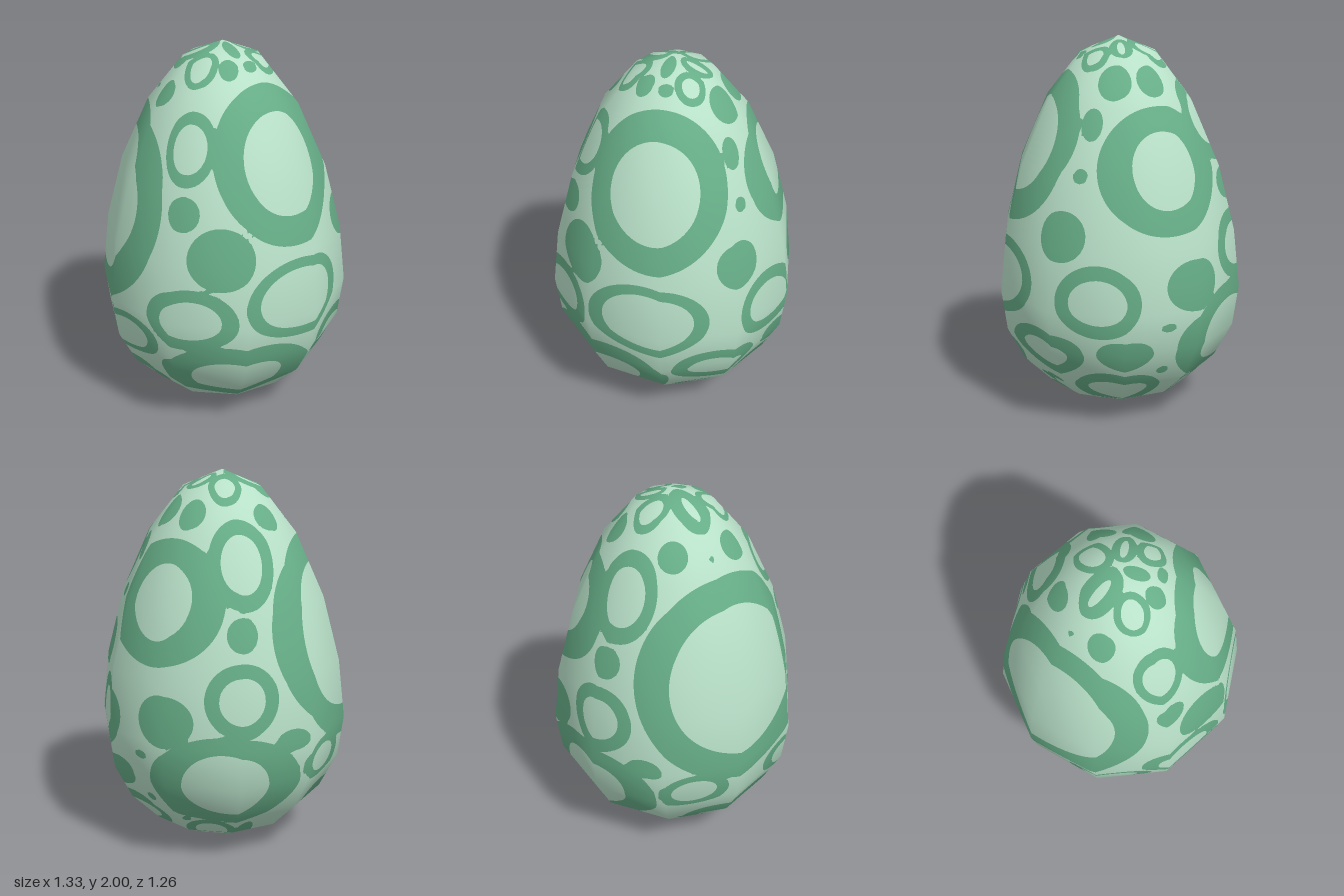
import * as THREE from 'three';

// Egg outline as [radius, height], and the ten flat sides around it
const PROFILE = [[0, 0], [0.205, 0.04], [0.39, 0.13], [0.54, 0.28], [0.635, 0.465], [0.665, 0.685],
  [0.63, 1.0], [0.54, 1.345], [0.39, 1.68], [0.205, 1.915], [0, 2]];
const SIDES = 10, SUB_A = 16, SUB_Y = 12;
const RAD = Math.PI / 180;

// Spots: [azimuth from the front toward the left, height, half width, half height, hole half width, hole half height]
const LARGE_RINGS = [
  [-85, 1.15, 0.55, 0.56, 0.39, 0.4], [48, 1.47, 0.37, 0.42, 0.23, 0.265],
  [151, 1.39, 0.35, 0.33, 0.18, 0.2], [15, 0.33, 0.41, 0.245, 0.245, 0.145],
  [191, 0.47, 0.41, 0.28, 0.23, 0.19], [47, 0.785, 0.33, 0.22, 0.25, 0.165],
  [-78, 0.2, 0.34, 0.2, 0.22, 0.11], [-8.5, 0.71, 0.255, 0.175, 0.167, 0.11],
];
const SMALL_RINGS = [
  [-15.5, 1.56, 0.135, 0.19, 0.09, 0.125], [203, 1.58, 0.17, 0.24, 0.108, 0.155],
  [199, 0.93, 0.195, 0.19, 0.12, 0.12], [113, 0.75, 0.225, 0.195, 0.155, 0.12],
  [-48, 0.515, 0.24, 0.13, 0.16, 0.09], [-112, 0.54, 0.19, 0.12, 0.125, 0.075],
  [82, 0.43, 0.245, 0.14, 0.155, 0.08], [122, 0.21, 0.225, 0.165, 0.155, 0.1],
  [181, 0.145, 0.135, 0.12, 0.085, 0.075], [65, 0.09, 0.13, 0.12, 0.08, 0.07],
  [-17, 0.07, 0.12, 0.12, 0.08, 0.07],
];
const CROWN_RINGS = [
  [194, 1.93, 0.085, 0.125, 0.052, 0.078], [129, 1.948, 0.06, 0.09, 0.02, 0.06],
  [85, 1.915, 0.08, 0.095, 0.045, 0.055], [-26, 1.905, 0.09, 0.115, 0.055, 0.08],
  [-86, 1.94, 0.09, 0.14, 0.025, 0.08],
];
const DOTS = [
  [-14, 1.26, 0.083, 0.09], [6, 1.045, 0.175, 0.165], [94, 1.07, 0.128, 0.13], [161, 0.81, 0.165, 0.135],
  [200, 1.25, 0.08, 0.09], [224, 0.7, 0.1, 0.06], [126, 0.455, 0.15, 0.095], [147, 0.6, 0.045, 0.028],
  [147, 0.34, 0.035, 0.03], [104, 1.61, 0.055, 0.085], [101, 1.37, 0.04, 0.04], [157, 1.8, 0.075, 0.09],
  [119, 1.8, 0.085, 0.1], [237, 1.78, 0.075, 0.08], [-59, 1.76, 0.07, 0.08], [-88, 1.75, 0.018, 0.018],
  [40, 1.967, 0.035, 0.07], [15, 1.91, 0.05, 0.065], [49, 1.91, 0.04, 0.035], [-118, 1.975, 0.03, 0.05],
  [78, 0.23, 0.065, 0.035], [110, 0.07, 0.05, 0.05], [167, 0.24, 0.025, 0.025], [206, 0.14, 0.05, 0.1],
  [30, 0.06, 0.05, 0.06], [66, 0.2, 0.05, 0.05], [45, 0.1, 0.05, 0.06], [145, 0.06, 0.05, 0.07],
  [225, 0.06, 0.06, 0.07], [250, 0.03, 0.05, 0.06], [10, 0.02, 0.04, 0.06], [90, 0.02, 0.04, 0.06],
  [175, 0.02, 0.05, 0.05],
];

// Tangent frame of each spot on the shell
function makeSpot([azimuth, y, w, h, holeW = 0, holeH = 0]) {
  const a = azimuth * RAD;
  const i = Math.max(0, PROFILE.findIndex((p) => p[1] >= y) - 1);
  const [r0, y0] = PROFILE[i], [r1, y1] = PROFILE[i + 1];
  const r = (r0 + (r1 - r0) * (y - y0) / (y1 - y0)) * 0.975;
  const out = new THREE.Vector3(Math.sin(a), 0, Math.cos(a));
  return {
    centre: out.clone().multiplyScalar(r).setY(y),
    east: new THREE.Vector3(Math.cos(a), 0, -Math.sin(a)),
    north: out.clone().multiplyScalar(r1 - r0).setY(y1 - y0).normalize(),
    w, h, holeW, holeH,
  };
}
const SPOTS = [...LARGE_RINGS, ...SMALL_RINGS, ...CROWN_RINGS, ...DOTS].map(makeSpot);

// Positive inside a spot's painted area, negative on the plain shell
function paintField(p) {
  let best = -1;
  const d = new THREE.Vector3();
  for (const s of SPOTS) {
    d.subVectors(p, s.centre);
    let u = d.dot(s.east), v = d.dot(s.north);
    const k = d.length() / Math.max(Math.hypot(u, v), 1e-6);
    u *= k;
    v *= k;
    let f = (1 - Math.hypot(u / s.w, v / s.h)) * Math.min(s.w, s.h);
    if (s.holeW) f = Math.min(f, (Math.hypot(u / s.holeW, v / s.holeH) - 1) * Math.min(s.holeW, s.holeH));
    best = Math.max(best, f);
  }
  return best;
}

// Corner of the ten-sided shell, with its smooth normal
function corner(i, j) {
  const a = (18 + 360 / SIDES * i) * RAD;
  const [r, y] = PROFILE[j];
  const lo = PROFILE[Math.max(j - 1, 0)], hi = PROFILE[Math.min(j + 1, PROFILE.length - 1)];
  const pole = r === 0;
  const nr = pole ? 0 : hi[1] - lo[1], ny = pole ? Math.sign(y - 1) : lo[0] - hi[0];
  return {
    p: new THREE.Vector3(r * Math.sin(a), y, r * Math.cos(a)),
    n: new THREE.Vector3(nr * Math.sin(a), ny, nr * Math.cos(a)).normalize(),
  };
}

const mix = (a, b, t) => ({ p: a.p.clone().lerp(b.p, t), n: a.n.clone().lerp(b.n, t), f: a.f + (b.f - a.f) * t });

// Fine grid point, lying flat on the shell's facets
function gridPoint(i, j) {
  const ci = Math.min(Math.floor(i / SUB_A), SIDES - 1), cj = Math.min(Math.floor(j / SUB_Y), PROFILE.length - 2);
  const s = i / SUB_A - ci, t = j / SUB_Y - cj;
  const v = mix(mix(corner(ci, cj), corner(ci + 1, cj), s), mix(corner(ci, cj + 1), corner(ci + 1, cj + 1), s), t);
  v.f = paintField(v.p);
  return v;
}

// Keep the part of a polygon on one side of the paint edge
function clip(poly, sign) {
  const kept = [];
  poly.forEach((a, i) => {
    const b = poly[(i + 1) % poly.length];
    if (a.f * sign >= 0) kept.push(a);
    if (a.f * b.f < 0) kept.push(mix(a, b, a.f / (a.f - b.f)));
  });
  return kept;
}

function makeSurface(polys, name, material) {
  const pos = [], nor = [];
  for (const poly of polys) {
    for (let k = 1; k + 1 < poly.length; k++) {
      for (const v of [poly[0], poly[k], poly[k + 1]]) {
        pos.push(v.p.x, v.p.y, v.p.z);
        const n = v.n.clone().normalize();
        nor.push(n.x, n.y, n.z);
      }
    }
  }
  const geometry = new THREE.BufferGeometry();
  geometry.setAttribute('position', new THREE.Float32BufferAttribute(pos, 3));
  geometry.setAttribute('normal', new THREE.Float32BufferAttribute(nor, 3));
  const mesh = new THREE.Mesh(geometry, material);
  mesh.name = name;
  return mesh;
}

export function createModel() {
  const paleGreen = new THREE.MeshStandardMaterial({ color: 0xb8e0c8 });
  paleGreen.name = 'pale green';
  const midGreen = new THREE.MeshStandardMaterial({ color: 0x66ad87 });
  midGreen.name = 'mid green';

  const cols = SIDES * SUB_A, rows = (PROFILE.length - 1) * SUB_Y;
  const grid = [];
  for (let j = 0; j <= rows; j++) {
    grid.push(Array.from({ length: cols + 1 }, (_, i) => gridPoint(i, j)));
  }

  // Split every small triangle along the paint edge
  const plain = [], painted = [];
  for (let j = 0; j < rows; j++) {
    for (let i = 0; i < cols; i++) {
      const a = grid[j][i], b = grid[j][i + 1], c = grid[j + 1][i + 1], d = grid[j + 1][i];
      const tris = [];
      if (j > 0) tris.push([a, b, c]);
      if (j < rows - 1) tris.push([a, c, d]);
      if (j === 0) tris[0] = [a, c, d];
      for (const tri of tris) {
        plain.push(clip(tri, -1));
        painted.push(clip(tri, 1));
      }
    }
  }

  const egg = new THREE.Group();
  egg.name = 'spottedEgg';
  egg.add(makeSurface(plain, 'shell', paleGreen), makeSurface(painted, 'spots', midGreen));
  return egg;
}
